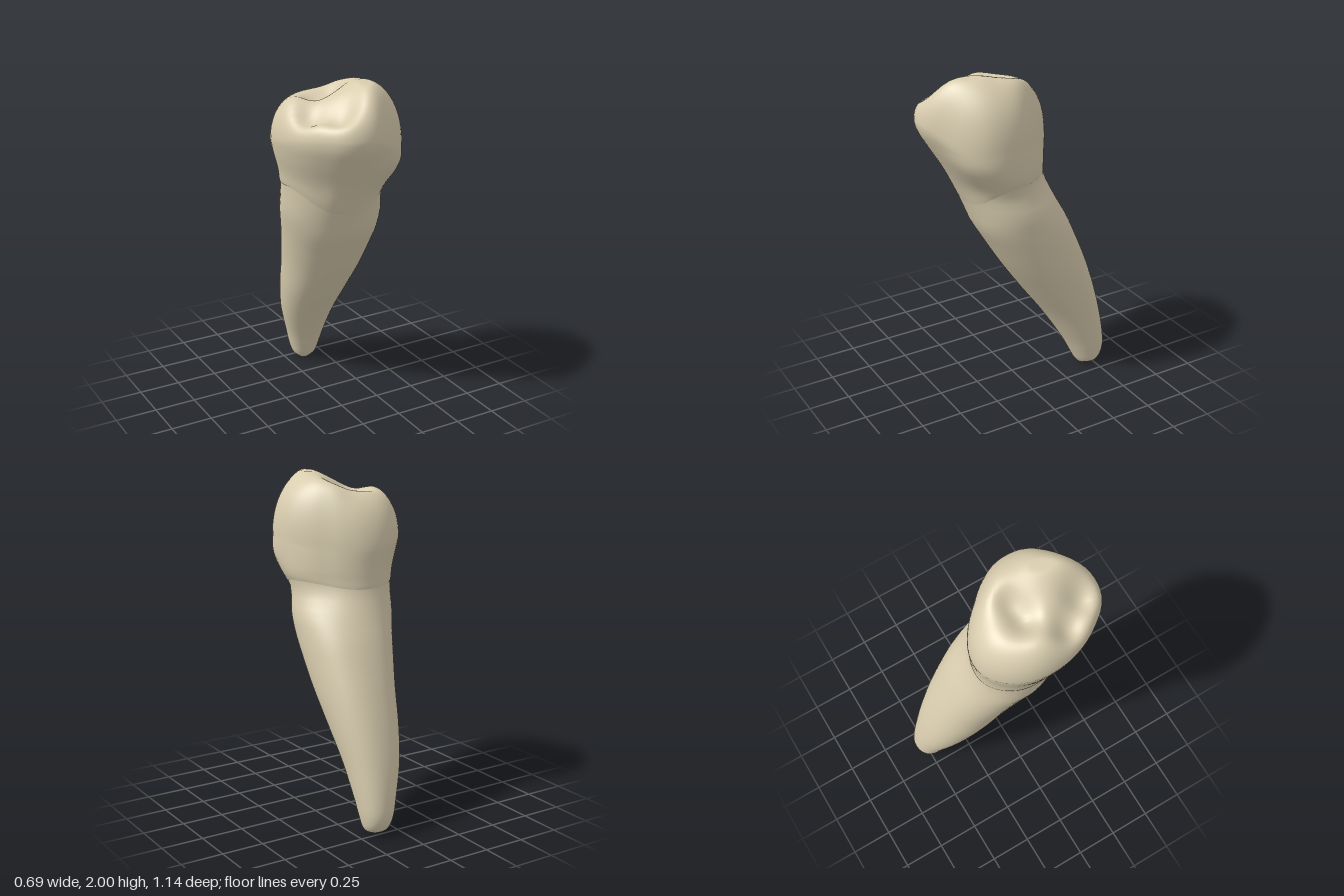
import * as THREE from 'three';
import { mergeVertices } from 'three/addons/utils/BufferGeometryUtils.js';

// Cross-section bounds, root tip to widest crown: y, xMin, xMax, zMin, zMax
const SECTIONS = [
  [0.0, 0.09, 0.15, -0.48, -0.42],
  [0.03, 0.055, 0.2, -0.53, -0.395],
  [0.1, 0.03, 0.222, -0.565, -0.36],
  [0.2, 0.0, 0.235, -0.565, -0.31],
  [0.4, -0.07, 0.258, -0.53, -0.188],
  [0.6, -0.12, 0.287, -0.475, -0.045],
  [0.8, -0.155, 0.312, -0.405, 0.093],
  [1.0, -0.2, 0.326, -0.325, 0.215],
  [1.1, -0.225, 0.329, -0.282, 0.272],
  [1.2, -0.25, 0.329, -0.237, 0.308],
  [1.34, -0.266, 0.305, -0.194, 0.368],
  [1.46, -0.283, 0.334, -0.193, 0.43],
  [1.6, -0.325, 0.343, -0.208, 0.512],
  [1.7, -0.345, 0.338, -0.212, 0.564],
  [1.8, -0.34, 0.325, -0.2, 0.576],
];

// Crown outline radii every 22.5 degrees, from the left side (+x) towards the front (+z)
const OUTLINE = [1, 1.03, 0.98, 0.95, 1, 1.02, 0.97, 0.97, 1, 1.05, 1.08, 1.07, 0.98, 0.88, 0.83, 0.89];

const SEGMENTS = 64;
const { smoothstep, lerp } = THREE.MathUtils;

// Smooth interpolation of the section table
function section(y) {
  const last = SECTIONS.length - 1;
  let i = 0;
  while (i < last - 1 && y > SECTIONS[i + 1][0]) i++;
  const a = SECTIONS[i], b = SECTIONS[i + 1];
  const p = SECTIONS[Math.max(i - 1, 0)], n = SECTIONS[Math.min(i + 2, last)];
  const h = b[0] - a[0], u = (y - a[0]) / h, u2 = u * u, u3 = u2 * u;
  return [1, 2, 3, 4].map((k) => {
    const ma = ((b[k] - p[k]) / (b[0] - p[0])) * h;
    const mb = ((n[k] - a[k]) / (n[0] - a[0])) * h;
    return (2 * u3 - 3 * u2 + 1) * a[k] + (u3 - 2 * u2 + u) * ma + (3 * u2 - 2 * u3) * b[k] + (u3 - u2) * mb;
  });
}

function crownRadius(t) {
  const n = OUTLINE.length, f = (t / (Math.PI * 2)) * n, i = Math.floor(f), u = f - i;
  const [a, b, c, d] = [-1, 0, 1, 2].map((k) => OUTLINE[(i + k + n) % n]);
  return b + 0.5 * u * (c - a + u * (2 * a - 5 * b + 4 * c - d + u * (3 * (b - c) + d - a)));
}

// How far a direction points to the front left corner, 0 to 1
const frontLeft = (t) => 2 * Math.max(0, Math.sin(t)) * Math.max(0, Math.cos(t));

// Point on the outer wall: squarish, slightly skewed oval on the root, shaped outline on the crown
function wall(y, t, scale = 1) {
  const [x0, x1, z0, z1] = section(y);
  const c = Math.cos(t), s = Math.sin(t);
  const skew = 1 - 0.04 * Math.sin(2 * t) * (1 - smoothstep(y, 0.5, 1.2));
  const oval = skew * Math.pow(Math.abs(c) ** 2.25 + Math.abs(s) ** 2.25, -1 / 2.25);
  const bulge = 0.12 * frontLeft(t) ** 2 * Math.exp(-(((y - 1.53) / 0.12) ** 2));
  const r = scale * (bulge + lerp(oval, crownRadius(t), smoothstep(y, 1.05, 1.45)));
  return new THREE.Vector3((x0 + x1) / 2 + (r * c * (x1 - x0)) / 2, y, (z0 + z1) / 2 + (r * s * (z1 - z0)) / 2);
}

// Closed rings of points joined into a smooth skin, rings listed from bottom to top
function loft(rows, pointAt) {
  const pos = [], index = [];
  for (let i = 0; i < rows; i++) {
    for (let j = 0; j < SEGMENTS; j++) {
      pos.push(...pointAt(i, (j / SEGMENTS) * Math.PI * 2).toArray());
      if (i === rows - 1) continue;
      const a = i * SEGMENTS + j, b = i * SEGMENTS + ((j + 1) % SEGMENTS);
      index.push(a, a + SEGMENTS, b, b, a + SEGMENTS, b + SEGMENTS);
    }
  }
  let geo = new THREE.BufferGeometry();
  geo.setAttribute('position', new THREE.Float32BufferAttribute(pos, 3));
  geo.setIndex(index);
  geo = mergeVertices(geo, 1e-5);
  geo.computeVertexNormals();
  return geo;
}

// Chewing surface: cusps (positive) and fossae (negative) as x, z, radius, height
const BUMPS = [
  [0.12, 0.28, 0.16, 0.075],
  [0.07, 0.45, 0.12, 0.06],
  [0.17, 0.06, 0.12, 0.045],
  [0.12, -0.03, 0.08, 0.025],
  [-0.27, 0.1, 0.1, 0.02],
  [-0.23, 0.28, 0.1, -0.11],
  [-0.12, 0.42, 0.1, -0.1],
  [-0.08, 0.09, 0.09, -0.07],
  [0.03, 0.07, 0.07, -0.04],
];
function biteHeight(x, z) {
  return BUMPS.reduce((h, [bx, bz, r, k]) => h + k * Math.exp(-((x - bx) ** 2 + (z - bz) ** 2) / (r * r)), 1.925);
}

export function createModel() {
  const tooth = new THREE.Group();
  tooth.name = 'tooth';
  const ivory = new THREE.MeshStandardMaterial({ color: 0xd9cdaf });
  ivory.name = 'ivory';

  const add = (name, geo) => {
    const mesh = new THREE.Mesh(geo, ivory);
    mesh.name = name;
    tooth.add(mesh);
  };

  // Root: rounded tip, slanting up into the crown
  const rootRows = 44;
  add('root', loft(rootRows, (i, t) => {
    if (i === 0) return wall(0, t, 0);
    const u = (i - 1) / (rootRows - 2);
    const y = 1.45 * Math.pow(u, 1.5);
    return wall(y, t, 1 - 0.025 * smoothstep(y, 1.2, 1.45));
  }));

  // Crown: scalloped neck edge, bulging wall, then the chewing surface closing inward
  const wallRows = 16, capRows = 28;
  const centre = new THREE.Vector3(0, 0, 0.18);
  add('crown', loft(wallRows + capRows, (i, t) => {
    const s = Math.sin(t), c = Math.cos(t);
    const neck = 1.4 - (s > 0 ? 0.17 : 0.04) * s * s;
    const widest = 1.66 + 0.07 * s - 0.03 * c - 0.06 * frontLeft(t) ** 2;
    if (i < wallRows) return wall(lerp(neck, widest, i / (wallRows - 1)), t, i === 0 ? 0.99 : 1);
    const k = Math.cos(((i - wallRows + 1) / capRows) * Math.PI / 2);
    const r = i === wallRows + capRows - 1 ? 0 : k;
    const p = wall(widest, t).lerp(centre, 1 - r);
    const rise = Math.sqrt(1 - Math.pow(r, 4.6 + 0.5 * s + 0.5 * c));
    p.y = Math.min(2, lerp(widest, biteHeight(p.x, p.z), rise));
    return p;
  }));

  return tooth;
}
